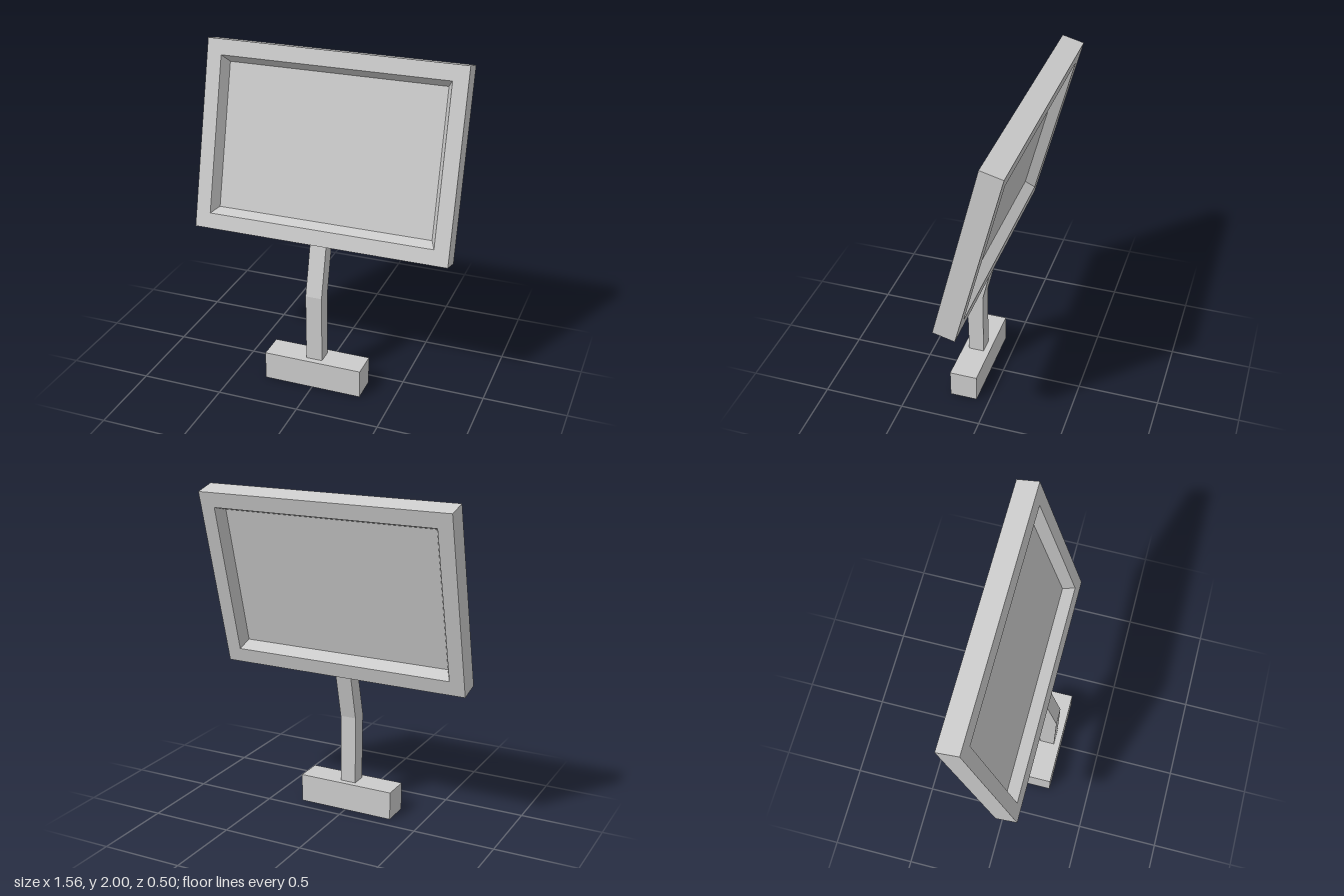
import * as THREE from 'three';

const material = new THREE.MeshStandardMaterial({ color: 0xcccccc, flatShading: true });

function addMesh(parent, name, geometry) {
  const mesh = new THREE.Mesh(geometry, material);
  mesh.name = name;
  parent.add(mesh);
  return mesh;
}

// Skin a row of rectangles [halfWidth, halfHeight, z] and cap both ends.
function rectangleLoft(sections) {
  const corners = sections.map(([w, h, z]) =>
    [[-w, -h, z], [w, -h, z], [w, h, z], [-w, h, z]]);
  const positions = [];
  const quad = (a, b, c, d) => positions.push(...a, ...b, ...c, ...a, ...c, ...d);
  for (let i = 0; i < corners.length - 1; i++) {
    const p = corners[i], q = corners[i + 1];
    for (let j = 0; j < 4; j++) {
      const k = (j + 1) % 4;
      quad(p[j], p[k], q[k], q[j]);
    }
  }
  const first = corners[0], last = corners[corners.length - 1];
  quad(first[3], first[2], first[1], first[0]);
  quad(last[0], last[1], last[2], last[3]);
  const geometry = new THREE.BufferGeometry();
  geometry.setAttribute('position', new THREE.Float32BufferAttribute(positions, 3));
  geometry.computeVertexNormals();
  return geometry;
}

export function createModel() {
  const model = new THREE.Group();
  model.name = 'signBoard';

  // Base block
  const base = addMesh(model, 'base', new THREE.BoxGeometry(0.608, 0.175, 0.17));
  base.position.set(0, 0.0875, 0.163);

  // Bent post: side profile (z, y) extruded across the width
  const profile = new THREE.Shape([
    [0.21, 0.175], [0.216, 0.6], [0.14, 0.906], [0.048, 0.884], [0.115, 0.6], [0.115, 0.175],
  ].map(([z, y]) => new THREE.Vector2(z, y)));
  const postGeometry = new THREE.ExtrudeGeometry(profile, { depth: 0.1, bevelEnabled: false });
  postGeometry.translate(0, 0, -0.05).rotateY(-Math.PI / 2);
  addMesh(model, 'post', postGeometry);

  // Tilted board, with a sloped recess in both faces down to a thin middle panel
  const half = 0.0665, panel = 0.002;
  const board = addMesh(model, 'board', rectangleLoft([
    [0.66, 0.434, -panel],
    [0.692, 0.47, -half],
    [0.782, 0.562, -half],
    [0.782, 0.562, half],
    [0.692, 0.47, half],
    [0.66, 0.434, panel],
  ]));
  board.position.set(0, 1.439, -0.045);
  board.rotation.x = -0.2513;

  return model;
}
